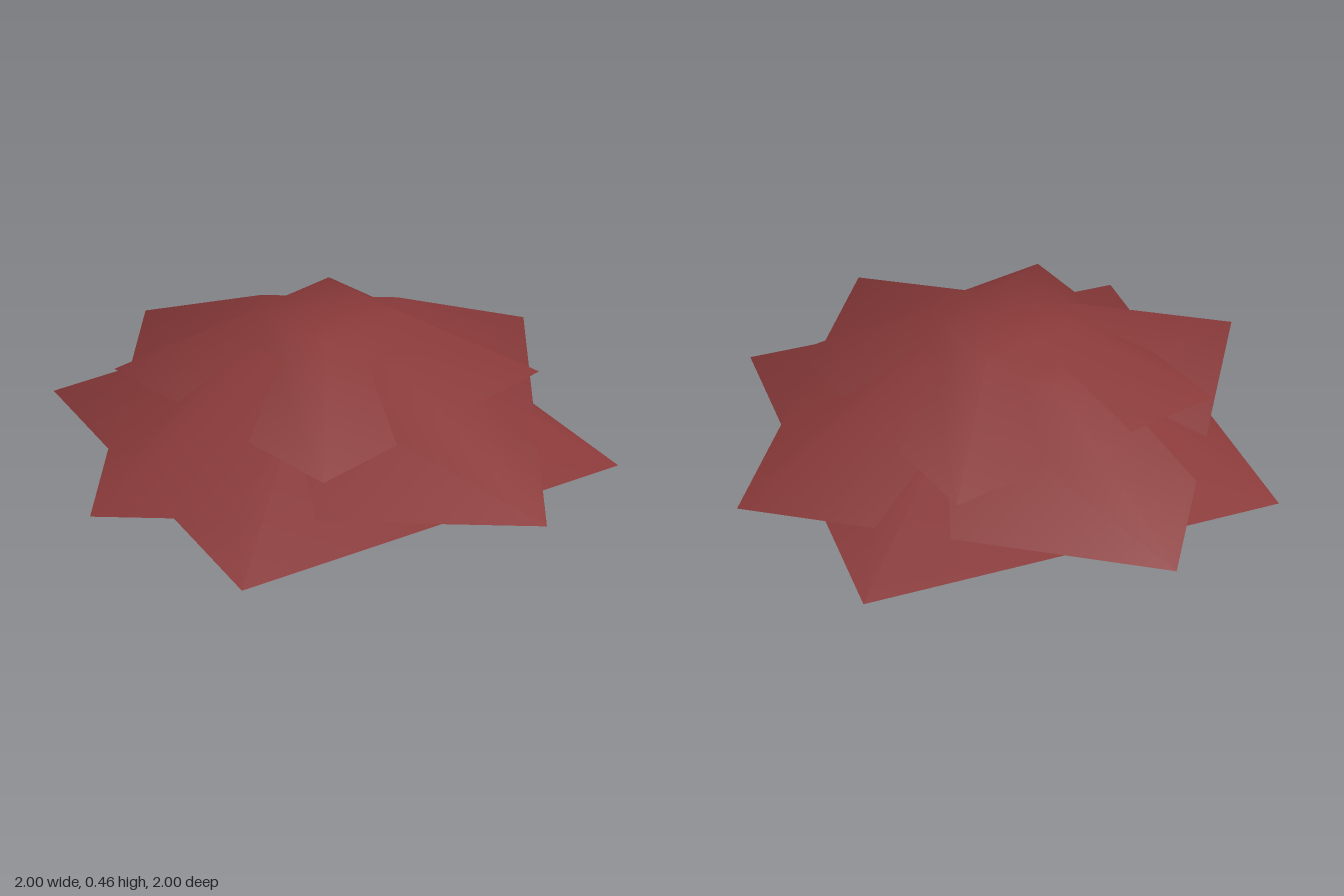
import * as THREE from 'three';

// One four-sided tier: sloping sides and a flat top, open underneath
function makeTier(name, radius, bottom, top, cornerAngle, material) {
  const profile = [
    new THREE.Vector2(radius, bottom),
    new THREE.Vector2(radius / 3, top),
    new THREE.Vector2(0, top),
  ];
  const geometry = new THREE.LatheGeometry(profile, 4, THREE.MathUtils.degToRad(cornerAngle));
  const mesh = new THREE.Mesh(geometry, material);
  mesh.name = name;
  return mesh;
}

export function createModel() {
  const group = new THREE.Group();
  group.name = 'tieredCanopy';
  const red = new THREE.MeshStandardMaterial({ color: 0x8b3a3a, side: THREE.DoubleSide });

  // Three overlapping tiers, each turned against the one below
  group.add(
    makeTier('lowerTier', 1.025, 0, 0.317, 45, red),
    makeTier('middleTier', 1.024, 0.077, 0.393, 12.4, red),
    makeTier('upperTier', 0.735, 0.227, 0.457, 58.9, red),
  );
  return group;
}
